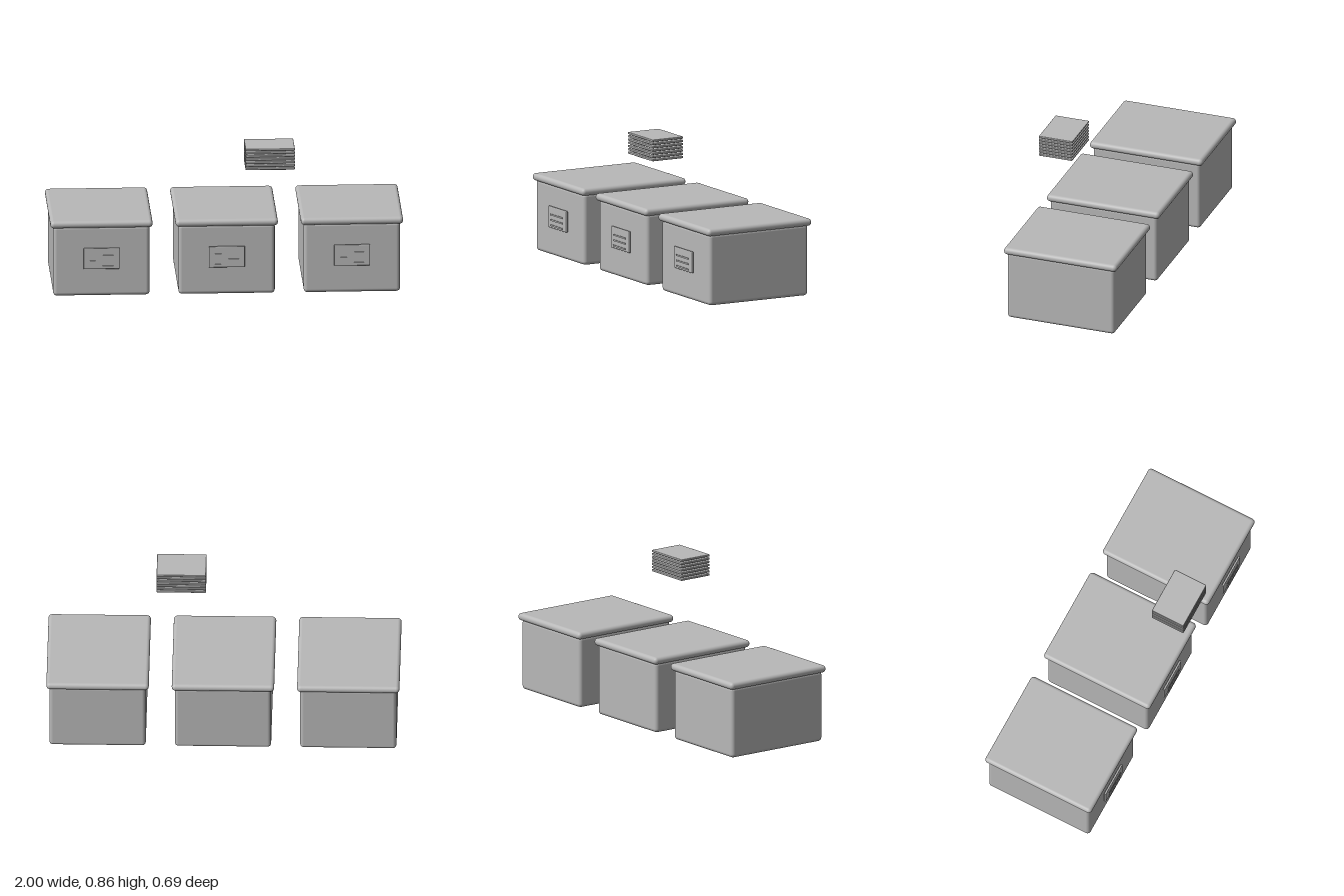
import * as THREE from 'three';
import { RoundedBoxGeometry } from 'three/addons/geometries/RoundedBoxGeometry.js';

const grey = new THREE.MeshStandardMaterial({ color: 0xb8b8b8 });
grey.name = 'plain grey';

// Adds a box with rounded edges, or a sharp one when the radius is 0.
function addBox(parent, name, [w, h, d], [x, y, z], radius = 0, segments = 4) {
  const geometry = radius
    ? new RoundedBoxGeometry(w, h, d, segments, radius)
    : new THREE.BoxGeometry(w, h, d);
  const mesh = new THREE.Mesh(geometry, grey);
  mesh.name = name;
  mesh.position.set(x, y, z);
  parent.add(mesh);
  return mesh;
}

// Storage box with an overhanging lid and a label on the front.
function makeStorageBox(x) {
  const box = new THREE.Group();
  box.name = 'storageBox';
  box.position.x = x;
  addBox(box, 'body', [0.546, 0.412, 0.646], [0, 0.206, -0.004], 0.021);
  addBox(box, 'lid', [0.58, 0.042, 0.68], [0, 0.423, -0.004], 0.0205);

  addBox(box, 'label', [0.205, 0.124, 0.012], [0, 0.224, 0.33], 0.005, 2);
  for (const y of [0.179, 0.21, 0.241]) {
    addBox(box, 'labelLine', [0.135, 0.009, 0.003], [0, y, 0.341]);
  }
  return box;
}

// Floating stack of cards with a picture panel and text lines underneath each.
function makeCardStack() {
  const stack = new THREE.Group();
  stack.name = 'cardStack';
  stack.position.set(0.245, 0.744, 0.245);
  for (let i = 0; i < 7; i++) {
    const y = i * 0.0187;
    addBox(stack, 'card', [0.28, 0.0125, 0.202], [0, y, 0], 0.004, 2);
    addBox(stack, 'cardPicture', [0.18, 0.003, 0.113], [0, y - 0.0085, 0.033]);
    for (const z of [-0.042, -0.066, -0.087]) {
      addBox(stack, 'cardLine', [0.17, 0.002, 0.007], [0, y - 0.008, z]);
    }
  }
  return stack;
}

export function createModel() {
  const model = new THREE.Group();
  model.name = 'storageBoxesAndCards';
  for (const x of [-0.71, 0, 0.71]) model.add(makeStorageBox(x));
  model.add(makeCardStack());
  return model;
}
